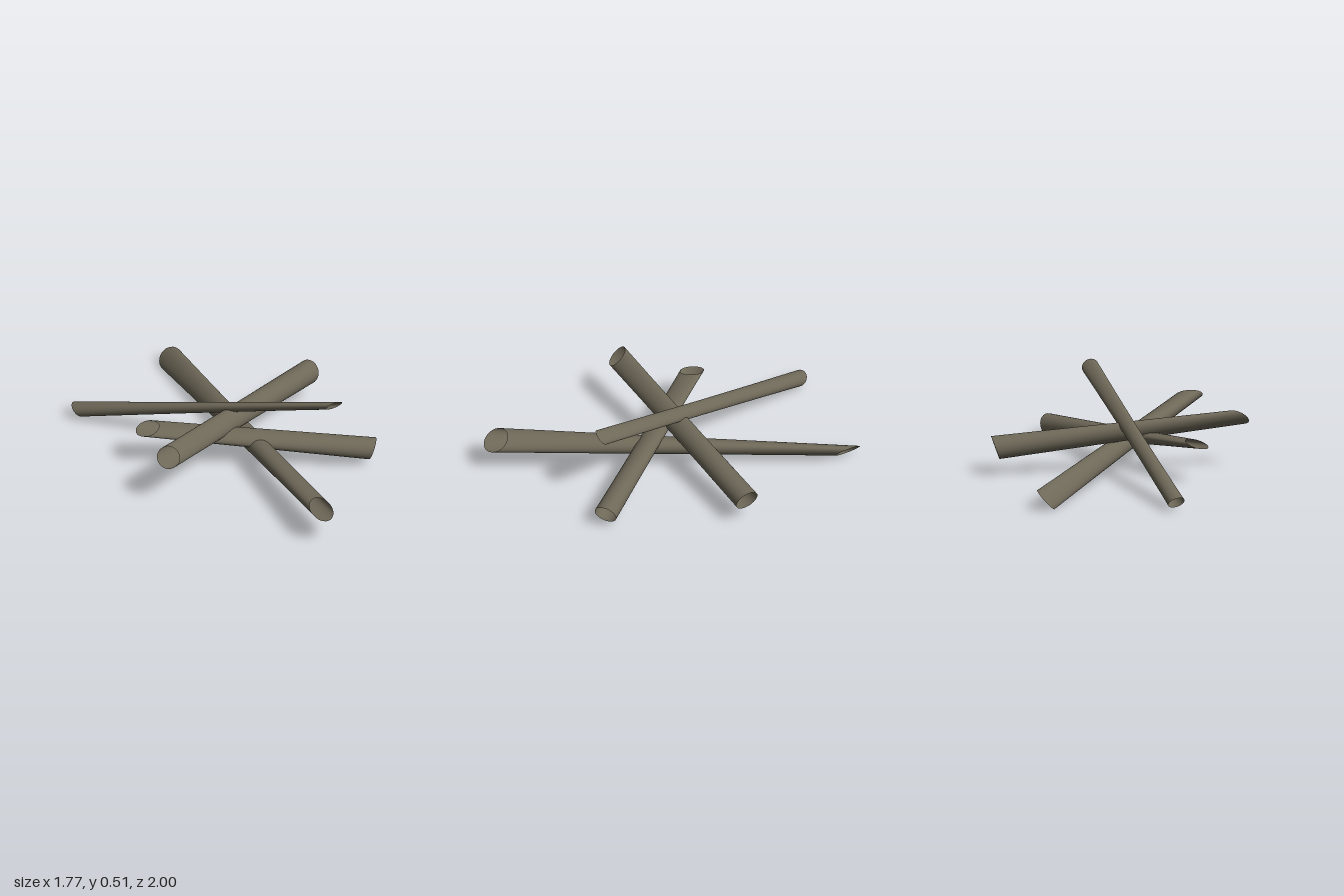
import * as THREE from 'three';

const SIDES = 28, STEPS = 10;

// Hollow log: a straight loft between two round ends, each cut at its own angle.
// from/to are end centres, cutA/cutB the outward normals of the cuts.
function logGeometry({ from, to, cutA, cutB, rA, rB, twist }) {
  const a = new THREE.Vector3(...from), b = new THREE.Vector3(...to);
  const axis = b.clone().sub(a).normalize();
  const e1 = new THREE.Vector3(0, 1, 0).cross(axis).normalize();
  const e2 = axis.clone().cross(e1);
  const tiltA = new THREE.Quaternion().setFromUnitVectors(axis, new THREE.Vector3(...cutA).normalize().negate());
  const tiltB = new THREE.Quaternion().setFromUnitVectors(axis, new THREE.Vector3(...cutB).normalize());

  const rim = (centre, tilt, r, angle) => e1.clone().multiplyScalar(Math.cos(angle) * r)
    .addScaledVector(e2, Math.sin(angle) * r).applyQuaternion(tilt).add(centre);

  const positions = [], index = [];
  for (let s = 0; s <= STEPS; s++) {
    for (let j = 0; j < SIDES; j++) {
      const t = (j / SIDES) * Math.PI * 2;
      const p = rim(a, tiltA, rA, t).lerp(rim(b, tiltB, rB, t + twist), s / STEPS);
      positions.push(p.x, p.y, p.z);
      if (s < STEPS) {
        const k = (j + 1) % SIDES, lo = s * SIDES, hi = lo + SIDES;
        index.push(lo + j, lo + k, hi + j, lo + k, hi + k, hi + j);
      }
    }
  }
  const g = new THREE.BufferGeometry();
  g.setAttribute('position', new THREE.Float32BufferAttribute(positions, 3));
  g.setIndex(index);
  g.computeVertexNormals();
  return g;
}

export function createModel() {
  const bark = new THREE.MeshStandardMaterial({ color: 0x6e6858, side: THREE.DoubleSide });
  bark.name = 'bark';

  const logs = {
    // longest log, lying lowest, back to front
    longLog: {
      from: [-0.31, 0.053, -0.94], to: [0.56, 0.196, 0.92],
      cutA: [0.45, -0.68, -0.58], cutB: [0.48, 0.81, 0.34], rA: 0.075, rB: 0.08, twist: 0.5,
    },
    // slender stick resting on top
    slenderLog: {
      from: [-0.853, 0.05, -0.405], to: [0.637, 0.47, 0.225],
      cutA: [-0.68, -0.68, -0.2], cutB: [0.38, -0.62, 0.69], rA: 0.05, rB: 0.05, twist: 0.9,
    },
    // diagonal log
    diagonalLog: {
      from: [0.49, 0.158, -0.635], to: [-0.33, 0.305, 0.525],
      cutA: [0.54, -0.33, -0.77], cutB: [0.25, 0.68, 0.68], rA: 0.071, rB: 0.068, twist: 0.5,
    },
    // log running side to side
    crossLog: {
      from: [-0.45, 0.238, 0.103], to: [0.86, 0.098, 0.103],
      cutA: [-0.25, 0.95, 0.15], cutB: [0.94, -0.35, 0], rA: 0.07, rB: 0.067, twist: 0.3,
    },
  };

  const model = new THREE.Group();
  model.name = 'logPile';
  for (const [name, spec] of Object.entries(logs)) {
    const mesh = new THREE.Mesh(logGeometry(spec), bark);
    mesh.name = name;
    model.add(mesh);
  }
  return model;
}
